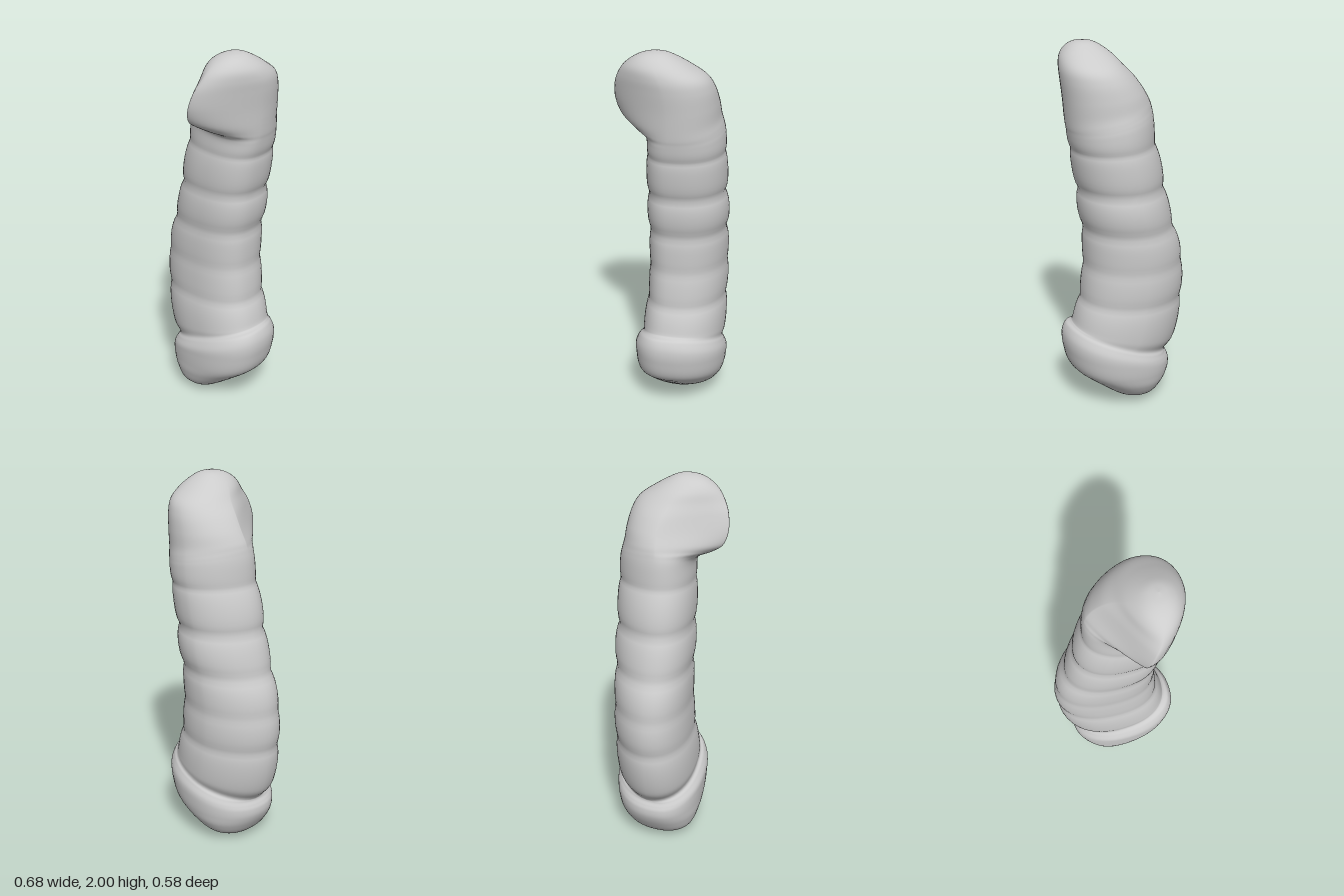
import * as THREE from 'three';

const SIDES = 48;

// Catmull-Rom blend of whole profile rows, t from 0 to 1
function sampleRow(rows, t) {
  const f = t * (rows.length - 1);
  const i = Math.min(Math.floor(f), rows.length - 2);
  const u = f - i;
  const at = (k) => rows[Math.max(0, Math.min(rows.length - 1, k))];
  return rows[i].map((_, c) => {
    const [a, b, d, e] = [at(i - 1)[c], at(i)[c], at(i + 1)[c], at(i + 2)[c]];
    return b + 0.5 * u * (d - a + u * (2 * a - 5 * b + 4 * d - e + u * (3 * (b - d) + e - a)));
  });
}

// Creases between the body rings: [height, depth]
const creases = [[0.61, 0.06], [0.81, 0.04], [1.02, 0.09], [1.24, 0.09], [1.47, 0.06]];
const pinch = (y) => creases.reduce((sum, [h, d]) => sum + d * Math.exp(-Math.abs(y - h) / 0.045), 0);

// Closed loft through tilted rings whose four corners differ in fullness
function loft(rows, steps) {
  const positions = [];
  const indices = [];
  const rounded = (v, power) => Math.sign(v) * Math.pow(Math.abs(v), 2 / power);
  for (let i = 0; i <= steps; i++) {
    const [y, x0, x1, z0, z1, tilt, zWide, frontRight, frontLeft, backRight] = sampleRow(rows, i / steps);
    const s = 1 - pinch(y);
    const rx = ((x1 - x0) / 2) * s;
    for (let j = 0; j < SIDES; j++) {
      const a = (j / SIDES) * Math.PI * 2;
      const [c, n] = [Math.cos(a), Math.sin(a)];
      const power = n > 0 ? (c < 0 ? frontRight : frontLeft) : c < 0 ? backRight : 2.15;
      const dx = rx * rounded(c, power);
      const rz = (n > 0 ? z1 - zWide : zWide - z0) * s;
      positions.push((x0 + x1) / 2 + dx, y + tilt * dx, zWide + rz * rounded(n, power));
      if (i < steps) {
        const p = i * SIDES + j;
        const q = i * SIDES + ((j + 1) % SIDES);
        indices.push(p, p + SIDES, q, q, p + SIDES, q + SIDES);
      }
    }
  }
  const geometry = new THREE.BufferGeometry();
  geometry.setAttribute('position', new THREE.Float32BufferAttribute(positions, 3));
  geometry.setIndex(indices);
  geometry.computeVertexNormals();
  return geometry;
}

export function createModel() {
  const model = new THREE.Group();

  // Rows: height, right x, left x, back z, front z, sideways tilt,
  // z of the widest place, fullness of the front right, front left and back right corners
  const baseShape = [0, 2.2, 2.2, 2.15];
  const base = [
    [0.0, -0.05, -0.05, 0.0, 0.0, 0, ...baseShape],
    [0.01, -0.125, 0.02, -0.09, 0.09, 0, ...baseShape],
    [0.055, -0.185, 0.095, -0.19, 0.16, 0.04, ...baseShape],
    [0.13, -0.232, 0.205, -0.25, 0.19, 0.07, ...baseShape],
    [0.2, -0.258, 0.298, -0.275, 0.2, 0.1, ...baseShape],
    [0.275, -0.26, 0.33, -0.286, 0.205, 0.2, ...baseShape],
    [0.325, -0.25, 0.334, -0.286, 0.204, 0.29, ...baseShape],
    [0.362, -0.238, 0.315, -0.272, 0.185, 0.36, ...baseShape],
  ];
  const bodyShape = [-0.03, 2.2, 2.4, 1.8];
  const body = [
    [0.38, -0.245, 0.29, -0.262, 0.165, 0.36, ...bodyShape],
    [0.42, -0.295, 0.28, -0.27, 0.168, 0.24, ...bodyShape],
    [0.52, -0.33, 0.268, -0.275, 0.165, 0.08, ...bodyShape],
    [0.7, -0.345, 0.234, -0.275, 0.15, 0.04, ...bodyShape],
    [0.9, -0.325, 0.222, -0.275, 0.145, 0.04, ...bodyShape],
    [1.12, -0.262, 0.245, -0.285, 0.145, 0.04, ...bodyShape],
    [1.35, -0.21, 0.27, -0.28, 0.138, 0, ...bodyShape],
    [1.48, -0.175, 0.288, -0.28, 0.13, -0.04, ...bodyShape],
  ];
  // The head juts out to the front with a flat face turned to the left
  const head = [
    [1.57, -0.16, 0.295, -0.272, 0.125, -0.14, -0.03, 2.1, 2.3, 1.8],
    [1.605, -0.152, 0.298, -0.266, 0.15, -0.18, -0.03, 1.75, 2.0, 1.8],
    [1.63, -0.146, 0.302, -0.26, 0.21, -0.18, -0.03, 1.35, 1.75, 1.8],
    [1.67, -0.135, 0.306, -0.25, 0.268, -0.14, -0.03, 1.15, 1.65, 1.85],
    [1.74, -0.105, 0.312, -0.242, 0.291, -0.07, -0.03, 1.05, 1.6, 1.9],
    [1.82, -0.06, 0.32, -0.225, 0.282, 0, -0.02, 1.1, 1.6, 1.9],
    [1.88, -0.005, 0.32, -0.192, 0.255, 0, 0, 1.3, 1.65, 2],
    [1.93, 0.04, 0.305, -0.12, 0.218, 0, 0.03, 1.6, 1.8, 2.1],
    [1.97, 0.09, 0.27, -0.05, 0.165, 0, 0.05, 2, 2, 2.15],
    [1.992, 0.135, 0.23, 0.0, 0.11, 0, 0.05, 2.15, 2.15, 2.15],
    [2.0, 0.185, 0.185, 0.05, 0.05, 0, 0.05, 2.15, 2.15, 2.15],
  ];

  const worm = new THREE.Mesh(
    loft([...base, ...body, ...head], 208),
    new THREE.MeshStandardMaterial({ color: 0xcccccc, roughness: 0.8 })
  );
  worm.name = 'ringedBodyWithBaseAndHead';
  model.add(worm);
  return model;
}
